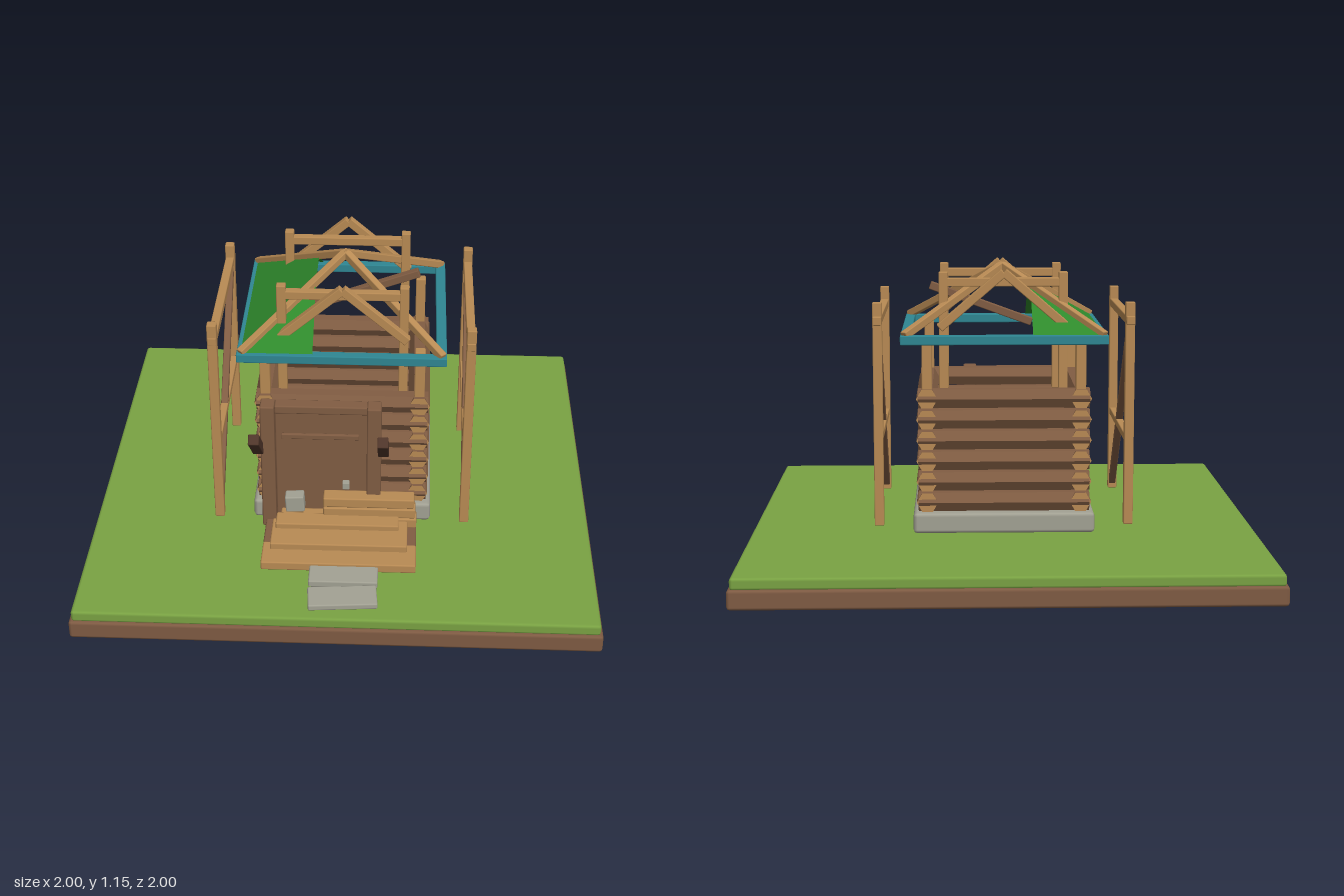
import * as THREE from 'three';
import { RoundedBoxGeometry } from 'three/addons/geometries/RoundedBoxGeometry.js';

const mat = (name, color, extra = {}) => {
  const m = new THREE.MeshStandardMaterial({ color, ...extra });
  m.name = name;
  return m;
};

export function createModel() {
  const grass = mat('grass', 0x7aa343);
  const soil = mat('soil', 0x7f5b43);
  const stone = mat('stone', 0xa3a294);
  const log = mat('log brown', 0x815d43);
  const wood = mat('light wood', 0xb98b54);
  const dark = mat('dark wood', 0x50362a);
  const teal = mat('teal trim', 0x2f8793);
  const green = mat('roof green', 0x2f8a2c, { side: THREE.DoubleSide });

  const model = new THREE.Group();
  const group = (name) => {
    const g = new THREE.Group();
    g.name = name;
    model.add(g);
    return g;
  };

  const add = (parent, name, geo, material) => {
    const m = new THREE.Mesh(geo, material);
    m.name = name;
    parent.add(m);
    return m;
  };
  // bevelled block given by its extents on each axis
  const block = (parent, name, material, [x0, x1], [y0, y1], [z0, z1], r = 0.006) => {
    const m = add(parent, name, new RoundedBoxGeometry(x1 - x0, y1 - y0, z1 - z0, 1, r), material);
    m.position.set((x0 + x1) / 2, (y0 + y1) / 2, (z0 + z1) / 2);
    return m;
  };
  // square timber running from a to b
  const beam = (parent, name, material, a, b, w = 0.036, h = w) => {
    const p = new THREE.Vector3(...a), q = new THREE.Vector3(...b);
    const m = add(parent, name, new RoundedBoxGeometry(w, h, p.distanceTo(q), 1, 0.004), material);
    m.position.copy(p).add(q).multiplyScalar(0.5);
    m.lookAt(q);
    return m;
  };

  // ground
  const ground = group('ground');
  block(ground, 'soilSlab', soil, [-1, 1], [0, 0.075], [-1, 1], 0.012);
  block(ground, 'grassLayer', grass, [-0.99, 0.99], [0.07, 0.117], [-0.99, 0.99], 0.012);

  // stone foundation
  block(model, 'foundation', stone, [-0.355, 0.355], [0.115, 0.197], [-0.355, 0.355], 0.015);

  // log walls: six-sided logs with pale cut ends
  const walls = group('logWalls');
  const makeLog = (alongX) => {
    let g = new THREE.CylinderGeometry(0.042, 0.042, 0.67, 6);
    if (alongX) g.rotateZ(Math.PI / 2);
    else g.rotateY(Math.PI / 2).rotateX(Math.PI / 2);
    g = g.toNonIndexed();
    g.computeVertexNormals();
    return g;
  };
  const logX = makeLog(true), logZ = makeLog(false);
  for (let i = 0; i < 6; i++) {
    const y = 0.236 + i * 0.082;
    for (const s of [-1, 1]) {
      add(walls, 'crossLog', logX, [log, wood, wood]).position.set(0, y, s * 0.3);
      add(walls, 'sideLog', logZ, [log, wood, wood]).position.set(s * 0.3, y, 0);
    }
  }

  // doorway with posts, lintel, slanted brackets and handle
  const door = group('doorway');
  block(door, 'doorPanel', log, [-0.26, 0.105], [0.13, 0.645], [0.345, 0.385]);
  block(door, 'lintel', log, [-0.26, 0.105], [0.64, 0.675], [0.345, 0.4]);
  for (const x of [-0.287, 0.128]) {
    block(door, 'doorPost', log, [x - 0.028, x + 0.028], [0.12, 0.68], [0.35, 0.42]);
  }
  for (const x of [-0.325, 0.165]) {
    beam(door, 'slantedBracket', dark, [x, 0.475, 0.4], [x, 0.63, 0.57], 0.042);
  }
  block(door, 'doorBar', log, [-0.23, 0.07], [0.555, 0.575], [0.43, 0.445], 0.003);
  block(door, 'doorHandle', stone, [0.007, 0.035], [0.34, 0.37], [0.445, 0.47], 0.003);
  block(door, 'looseStone', stone, [-0.22, -0.145], [0.215, 0.285], [0.4, 0.455]).rotation.z = 0.06;

  // plank stack, steps and paving
  const steps = group('steps');
  for (let i = 0; i < 3; i++) {
    const x0 = [-0.24, -0.07, -0.07][i];
    const y = 0.15 + i * 0.046;
    block(steps, 'stackedPlank', wood, [x0, 0.3 - 0.005 * i], [y, y + 0.042], [0.39, 0.455]);
  }
  block(steps, 'upperStep', wood, [-0.255, 0.23], [0.172, 0.205], [0.44, 0.52]);
  block(steps, 'middleStep', wood, [-0.27, 0.265], [0.148, 0.182], [0.45, 0.62]);
  block(steps, 'lowerStep', wood, [-0.3, 0.3], [0.118, 0.155], [0.57, 0.705]);
  block(steps, 'stepSupport', log, [-0.3, 0.3], [0.115, 0.152], [0.36, 0.58]);
  block(steps, 'pavingSlab', stone, [-0.11, 0.155], [0.115, 0.145], [0.7, 0.802]);
  block(steps, 'pavingSlab', stone, [-0.107, 0.155], [0.115, 0.14], [0.817, 0.933]).rotation.y = 0.08;

  // free-standing side frames
  for (const s of [-1, 1]) {
    const f = group(s > 0 ? 'leftScaffold' : 'rightScaffold');
    const x = s * 0.49;
    for (const z of [0.375, -0.297]) beam(f, 'scaffoldPost', wood, [x, 0.14, z], [x, 1.02, z], 0.037);
    beam(f, 'upperRail', wood, [x, 0.95, -0.335], [x, 0.95, 0.397], 0.034);
    beam(f, 'middleRail', wood, [x, 0.48, -0.31], [x, 0.48, 0.39], 0.03);
    beam(f, 'diagonalBrace', log, [x, 0.16, 0.375], [x, 0.93, -0.3], 0.028);
  }

  // corner posts, loft frames and small gable trusses
  const frame = group('roofFrame');
  for (const sz of [-1, 1]) {
    const z = sz * 0.3;
    for (const sx of [-1, 1]) {
      beam(frame, 'cornerPost', wood, [sx * 0.3, 0.66, z], [sx * 0.3, 0.88, z], 0.04);
      beam(frame, 'trussRafter', wood, [sx * 0.25, 0.92, z], [0, 1.135, z], 0.034);
    }
  }
  for (const z of [0.255, -0.21]) {
    for (const s of [-1, 1]) beam(frame, 'loftPost', wood, [s * 0.235, 0.6, z], [s * 0.235, 1.13, z], 0.036);
    beam(frame, 'loftBeam', wood, [-0.25, 1.09, z], [0.25, 1.09, z], 0.034);
  }
  beam(frame, 'leaningBeam', log, [-0.12, 0.91, 0], [0.29, 1.06, 0], 0.032);

  // eaves ring and hip rafters
  const E = 0.38, Y = 0.883;
  for (const s of [-1, 1]) {
    beam(frame, 'eavesTrim', teal, [-0.4, Y, s * E], [0.4, Y, s * E], 0.04, 0.036);
    beam(frame, 'eavesTrim', teal, [s * E, Y, -0.4], [s * E, Y, 0.4], 0.04, 0.036);
    for (const t of [-1, 1]) beam(frame, 'hipRafter', wood, [s * 0.385, 0.9, t * 0.385], [0, 1.14, 0], 0.03);
  }

  // unfinished roof covering: one hip slope and the cut corners beside it
  const e = 0.385, c = 0.11, yLow = 0.9, yTop = 1.07;
  const A = [-e, yLow, -e], B = [-e, yLow, e], C = [-c, yTop, c], D = [-c, yTop, -c];
  const F = [-c, yLow, e], G = [-c, yLow, -e];
  const roof = new THREE.BufferGeometry();
  const tris = [A, B, C, A, C, D, B, F, C, A, D, G];
  roof.setAttribute('position', new THREE.Float32BufferAttribute(tris.flat(), 3));
  roof.computeVertexNormals();
  add(model, 'roofCovering', roof, green);

  return model;
}
